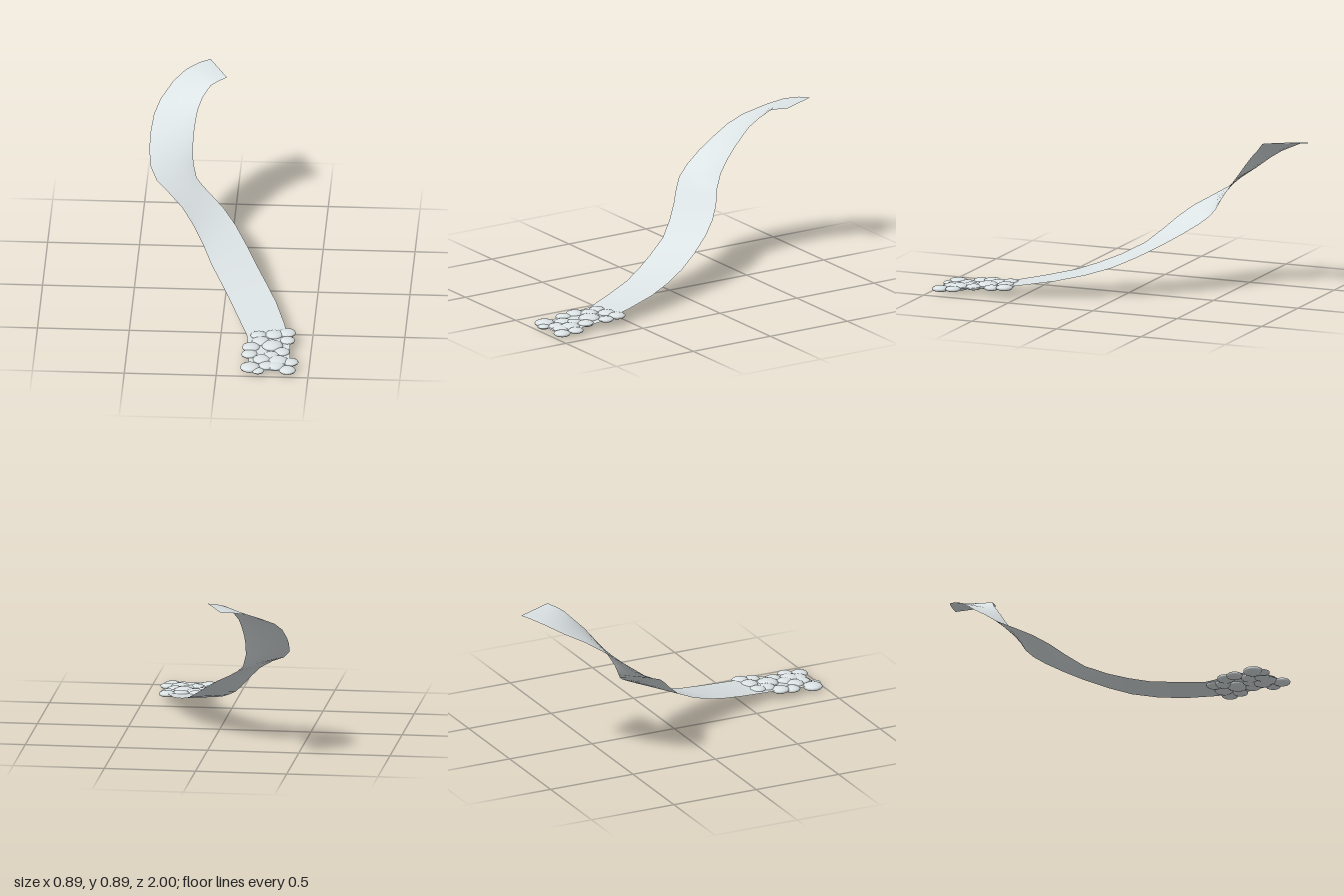
import * as THREE from 'three';

// Cross-sections of the ribbon: outer edge x,y,z then inner edge x,y,z
const SECTIONS = [
  [-0.14, 0.89, -1.0, -0.04, 0.89, -0.79],
  [-0.2, 0.885, -0.97, -0.08, 0.882, -0.765],
  [-0.27, 0.866, -0.92, -0.125, 0.867, -0.735],
  [-0.335, 0.83, -0.85, -0.165, 0.82, -0.69],
  [-0.4, 0.775, -0.735, -0.19, 0.77, -0.64],
  [-0.43, 0.725, -0.655, -0.2, 0.72, -0.6],
  [-0.445, 0.655, -0.56, -0.208, 0.66, -0.555],
  [-0.445, 0.6, -0.48, -0.21, 0.6, -0.51],
  [-0.435, 0.54, -0.4, -0.205, 0.53, -0.465],
  [-0.395, 0.492, -0.32, -0.185, 0.46, -0.43],
  [-0.32, 0.45, -0.25, -0.15, 0.425, -0.405],
  [-0.25, 0.4, -0.19, -0.1, 0.39, -0.365],
  [-0.19, 0.335, -0.125, -0.03, 0.345, -0.3],
  [-0.13, 0.26, -0.04, 0.04, 0.29, -0.21],
  [-0.075, 0.195, 0.08, 0.11, 0.225, -0.09],
  [-0.02, 0.15, 0.19, 0.17, 0.17, 0.03],
  [0.03, 0.113, 0.3, 0.23, 0.13, 0.16],
  [0.09, 0.078, 0.46, 0.29, 0.097, 0.31],
  [0.145, 0.05, 0.61, 0.345, 0.067, 0.5],
  [0.165, 0.04, 0.77, 0.385, 0.045, 0.69],
  [0.175, 0.02, 0.97, 0.4, 0.02, 0.96],
];

// Foam puffs: x, z, radius
const PUFFS = [
  [0.21, 0.61, 0.045], [0.295, 0.6, 0.05], [0.365, 0.58, 0.047],
  [0.37, 0.655, 0.042], [0.225, 0.67, 0.05], [0.175, 0.73, 0.05],
  [0.29, 0.71, 0.06], [0.345, 0.77, 0.045], [0.17, 0.8, 0.045],
  [0.24, 0.85, 0.05], [0.33, 0.86, 0.055], [0.4, 0.87, 0.042],
  [0.18, 0.93, 0.055], [0.27, 0.91, 0.045], [0.32, 0.91, 0.05],
  [0.385, 0.95, 0.047], [0.225, 0.965, 0.034], [0.29, 0.81, 0.045],
];

// Ruled strip between the two edges, split across into narrow columns
function ribbonGeometry(columns = 6) {
  const positions = [], indices = [];
  for (const s of SECTIONS) {
    const outer = new THREE.Vector3(s[0], s[1], s[2]);
    const inner = new THREE.Vector3(s[3], s[4], s[5]);
    for (let c = 0; c <= columns; c++) {
      const p = outer.clone().lerp(inner, c / columns);
      positions.push(p.x, p.y, p.z);
    }
  }
  const row = columns + 1;
  for (let r = 0; r < SECTIONS.length - 1; r++) {
    for (let c = 0; c < columns; c++) {
      const a = r * row + c, b = a + row;
      indices.push(a, b, a + 1, b, b + 1, a + 1); // faces upward
    }
  }
  const g = new THREE.BufferGeometry();
  g.setAttribute('position', new THREE.Float32BufferAttribute(positions, 3));
  g.setIndex(indices);
  g.computeVertexNormals();
  return g;
}

export function createModel() {
  const group = new THREE.Group();
  group.name = 'stream';

  const paleGrey = new THREE.MeshStandardMaterial({ color: 0xdce3e4, side: THREE.DoubleSide });
  paleGrey.name = 'paleGrey';

  const ribbon = new THREE.Mesh(ribbonGeometry(), paleGrey);
  ribbon.name = 'waterRibbon';
  group.add(ribbon);

  // Flattened puffs gathered on the low end, following its gentle slope
  const foam = new THREE.Group();
  foam.name = 'foam';
  const puffGeometry = new THREE.SphereGeometry(1, 12, 8);
  for (const [x, z, r] of PUFFS) {
    const puff = new THREE.Mesh(puffGeometry, paleGrey);
    puff.name = 'foamPuff';
    puff.scale.set(r, r * 0.36, r);
    puff.position.set(x, 0.02 + (0.95 - z) * 0.09, z);
    foam.add(puff);
  }
  group.add(foam);
  return group;
}
